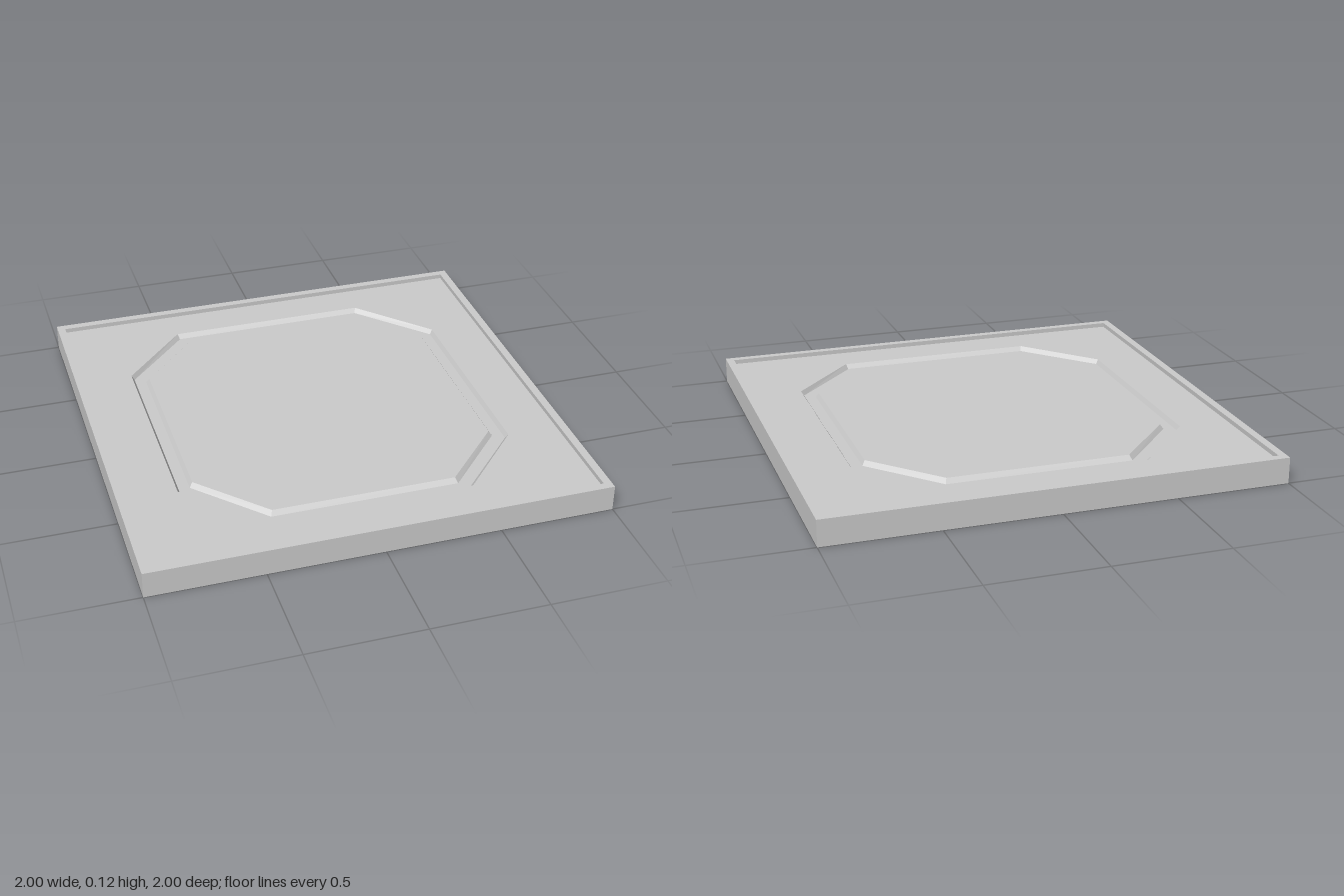
import * as THREE from 'three';
import { mergeGeometries } from 'three/addons/utils/BufferGeometryUtils.js';

const TOP = 0.115;     // rim height
const FIELD = 0.095;   // sunken field and centre panel
const FLOOR = 0.075;   // groove floor

// Outlines as [x, depth] points, counter-clockwise seen from above
const square = (h) => [[h, -h], [h, h], [-h, h], [-h, -h]];
const octagon = (x, z, cx, cz) => [
  [x, -cz], [x, cz], [cx, z], [-cx, z], [-x, cz], [-x, -cz], [-cx, -z], [cx, -z],
];

// Faceted strip joining two outlines at their own heights
function band(a, ya, b, yb) {
  const pos = [];
  const put = ([x, d], y) => pos.push(x, y, -d);
  a.forEach((p, i) => {
    const j = (i + 1) % a.length;
    put(p, ya); put(a[j], ya); put(b[j], yb);
    put(p, ya); put(b[j], yb); put(b[i], yb);
  });
  const g = new THREE.BufferGeometry();
  g.setAttribute('position', new THREE.Float32BufferAttribute(pos, 3));
  g.computeVertexNormals();
  return g;
}

// Flat upward sheet with an optional hole
function sheet(outline, y, hole) {
  const vec = (pts) => pts.map(([x, d]) => new THREE.Vector2(x, d));
  const shape = new THREE.Shape(vec(outline));
  if (hole) shape.holes.push(new THREE.Path(vec(hole)));
  const g = new THREE.ShapeGeometry(shape).toNonIndexed();
  g.deleteAttribute('uv');
  return g.rotateX(-Math.PI / 2).translate(0, y, 0);
}

export function createModel() {
  const group = new THREE.Group();
  const material = new THREE.MeshStandardMaterial({ color: 0xcccccc, flatShading: true });
  const add = (name, ...geos) => {
    const mesh = new THREE.Mesh(geos.length > 1 ? mergeGeometries(geos) : geos[0], material);
    mesh.name = name;
    group.add(mesh);
  };

  const edge = square(1);
  const lip = square(0.965);
  // Groove outlines from the outside in
  const outerTop = octagon(0.74, 0.795, 0.45, 0.48);
  const outerFoot = octagon(0.728, 0.778, 0.443, 0.473);
  const innerFoot = octagon(0.68, 0.735, 0.408, 0.44);
  const innerTop = octagon(0.667, 0.717, 0.4, 0.43);

  // Square slab: underside and outer walls
  add('slab', sheet(edge, 0).rotateX(Math.PI), band(edge, 0, edge, TOP));

  // Narrow raised border and its inner step
  add('rim', band(edge, TOP, lip, TOP), band(lip, TOP, lip, FIELD));

  // Sunken field around the groove
  add('field', sheet(lip, FIELD, outerTop));

  // Octagonal channel with sloped walls
  add('groove',
    band(outerTop, FIELD, outerFoot, FLOOR),
    band(outerFoot, FLOOR, innerFoot, FLOOR),
    band(innerFoot, FLOOR, innerTop, FIELD));

  // Octagonal panel inside the groove
  add('centrePanel', sheet(innerTop, FIELD));

  return group;
}
